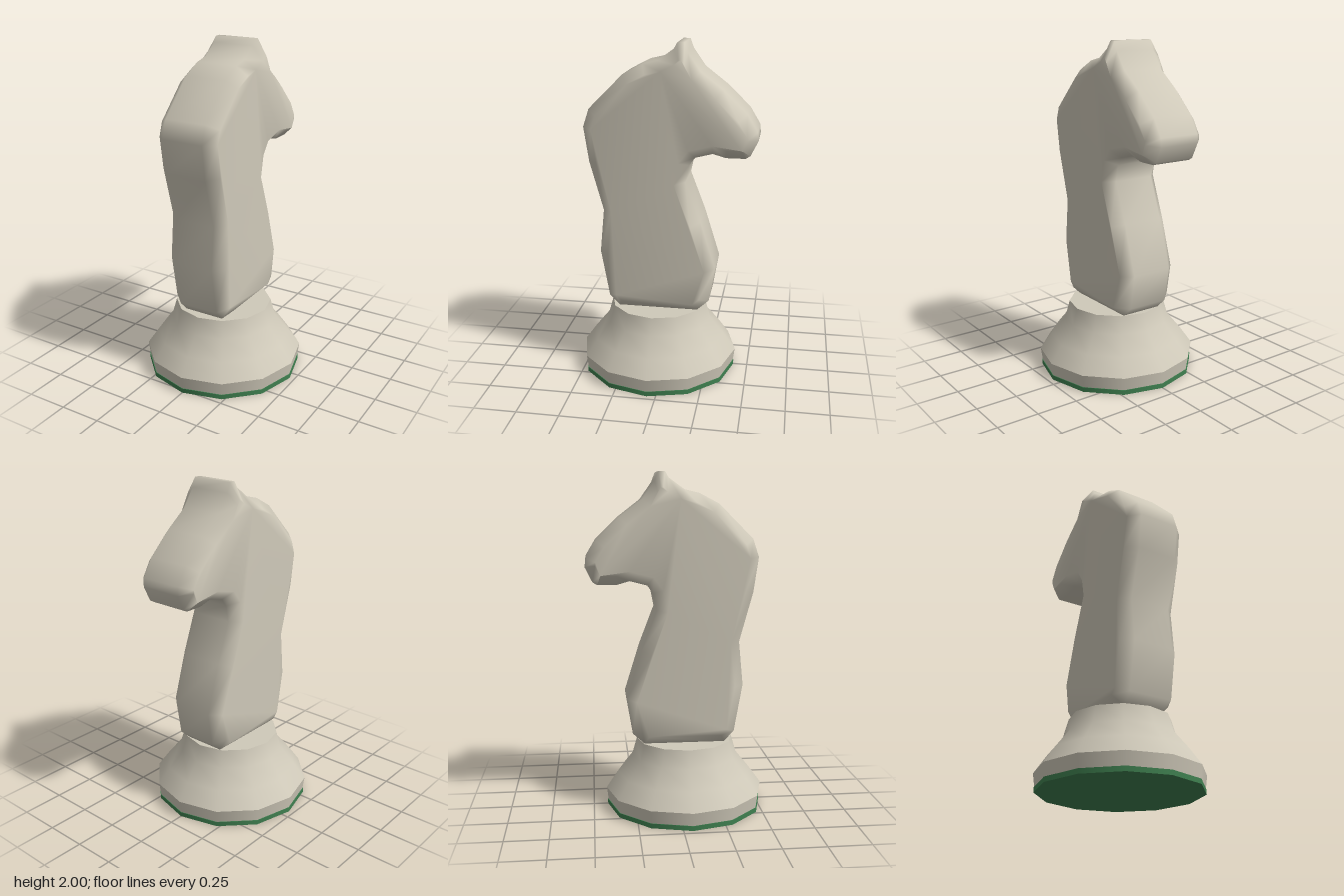
import * as THREE from 'three';

const WOOD = new THREE.MeshStandardMaterial({ color: 0xcfc9b9 });
WOOD.name = 'paleWood';
const FELT = new THREE.MeshStandardMaterial({ color: 0x3f8050 });
FELT.name = 'greenFelt';

const BASE_Z = 0.055;
const SIDES = 12;

// Side outline of the horse as [z, y], from the chest up over the ears and down the back of the neck.
// Ear points carry their own inset position [z, y, insetZ, insetY].
const OUTLINE = [
  [0.28, 0.413], [0.34, 0.477], [0.39, 0.76], [0.365, 1.02], [0.445, 1.31], [0.475, 1.515],
  [0.44, 1.62], [0.24, 1.82], [0.125, 1.88], [0.04, 1.9],
  [-0.05, 1.965, -0.06, 1.885], [-0.07, 2, -0.085, 1.91],
  [-0.11, 2, -0.1, 1.91], [-0.13, 1.945, -0.115, 1.885],
  [-0.2, 1.845], [-0.33, 1.745], [-0.465, 1.615], [-0.525, 1.515], [-0.53, 1.465],
  [-0.487, 1.378], [-0.46, 1.362], [-0.35, 1.362], [-0.275, 1.383], [-0.175, 1.357],
  [-0.14, 1.31], [-0.12, 1.21], [-0.21, 0.975], [-0.3, 0.685], [-0.265, 0.477], [-0.195, 0.413],
];

// Moves every outline point inwards by d along its mitre
function insetOutline(points, d) {
  const n = points.length;
  return points.map((p, i) => {
    if (p.length === 4) return [p[2], p[3]];
    const a = points[(i + n - 1) % n], b = points[(i + 1) % n];
    const inward = (s, e) => new THREE.Vector2(e[1] - s[1], s[0] - e[0]).normalize().negate();
    const n1 = inward(a, p), n2 = inward(p, b);
    const m = n1.clone().add(n2).normalize();
    m.multiplyScalar(d / Math.max(0.6, m.dot(n1)));
    return [p[0] + m.x, p[1] + m.y];
  });
}

// Bevelled slab with shared vertices, so the shading runs softly over the edges
function horseGeometry() {
  const inner = insetOutline(OUTLINE, 0.057);
  const rings = [[-0.187, inner], [-0.125, OUTLINE], [0.125, OUTLINE], [0.187, inner]];
  const n = OUTLINE.length;
  const positions = [], index = [];
  for (const [x, pts] of rings) for (const [z, y] of pts) positions.push(x, y, z);

  for (let r = 0; r < rings.length - 1; r++) {
    for (let j = 0; j < n; j++) {
      const k = (j + 1) % n;
      const a = r * n + j, b = a + n, c = (r + 1) * n + k, d = r * n + k;
      index.push(a, b, c, a, c, d);
    }
  }

  // Flat cheeks on both sides
  const flat = inner.map(([z, y]) => new THREE.Vector2(-z, y));
  const last = (rings.length - 1) * n;
  for (const tri of THREE.ShapeUtils.triangulateShape(flat, [])) {
    let [a, b, c] = tri;
    if (THREE.ShapeUtils.area([flat[a], flat[b], flat[c]]) < 0) [b, c] = [c, b];
    index.push(last + a, last + b, last + c, a, c, b);
  }

  const geometry = new THREE.BufferGeometry();
  geometry.setAttribute('position', new THREE.Float32BufferAttribute(positions, 3));
  geometry.setIndex(index);
  geometry.computeVertexNormals();
  return geometry;
}

function add(group, name, geometry, material) {
  const mesh = new THREE.Mesh(geometry, material);
  mesh.name = name;
  group.add(mesh);
  return mesh;
}

export function createModel() {
  const model = new THREE.Group();
  model.name = 'chessKnight';

  add(model, 'horse', horseGeometry(), WOOD);

  // Turned base: separate bands keep the rims crisp
  const base = new THREE.Group();
  base.name = 'base';
  base.position.z = BASE_Z;
  model.add(base);
  const bands = {
    baseRim: [[0.466, 0.026], [0.477, 0.105]],
    baseFlare: [[0.477, 0.105], [0.405, 0.205], [0.32, 0.31], [0.29, 0.415]],
    baseTop: [[0.29, 0.415], [0, 0.415]],
  };
  for (const [name, pts] of Object.entries(bands)) {
    const profile = pts.map(([r, y]) => new THREE.Vector2(r, y));
    add(base, name, new THREE.LatheGeometry(profile, SIDES), WOOD);
  }

  // Felt pad under the base
  const pad = add(base, 'feltPad', new THREE.CylinderGeometry(0.47, 0.47, 0.028, SIDES), FELT);
  pad.position.y = 0.014;

  return model;
}
